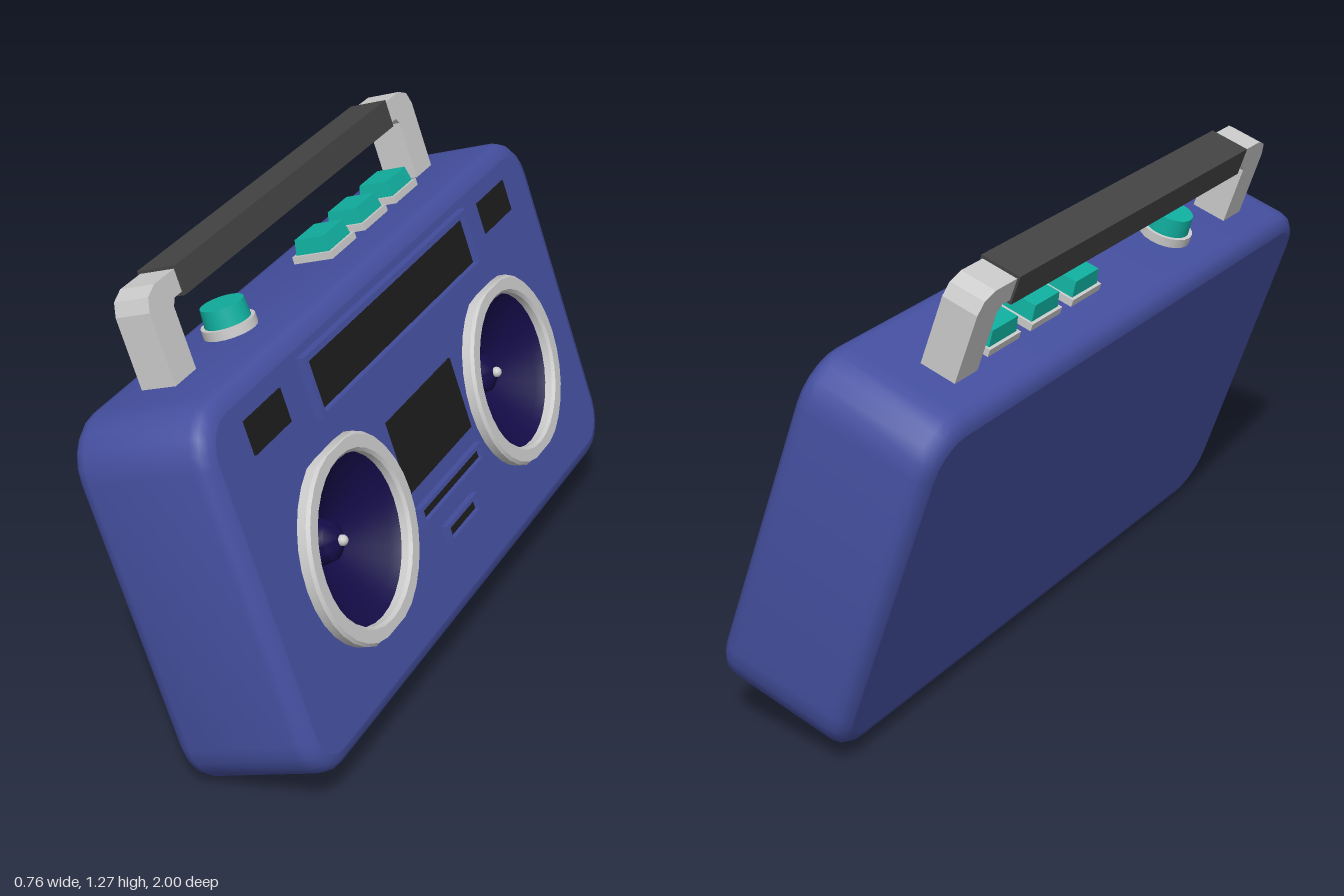
import * as THREE from 'three';
import { toCreasedNormals } from 'three/addons/utils/BufferGeometryUtils.js';

const mat = (color, side = THREE.FrontSide) => new THREE.MeshStandardMaterial({ color, side });
const BLUE = mat(0x4550a0), GREY = mat(0xcccccc), BLACK = mat(0x1c1c1c);
const GRIP = mat(0x444444), TEAL = mat(0x10b0a0), CONE = mat(0x140c48, THREE.DoubleSide);

// Local frame: x along the length, y up the case, z out of the speaker face
const W = 1.96, H = 1.0, D = 0.39, FACE = D / 2, TOP = H / 2;
const SPEAKERS = [[-0.503, -0.06], [0.503, -0.06]];

function add(parent, name, geometry, material, x = 0, y = 0, z = 0) {
  const mesh = new THREE.Mesh(geometry, material);
  mesh.name = name;
  mesh.position.set(x, y, z);
  parent.add(mesh);
  return mesh;
}

// Counter-clockwise rounded rectangle, always with the same number of points
function roundedRect(w, h, r, seg = 5) {
  const points = [];
  [[1, 1], [-1, 1], [-1, -1], [1, -1]].forEach(([sx, sy], corner) => {
    for (let i = 0; i <= seg; i++) {
      const t = (corner + i / seg) * Math.PI / 2;
      points.push(new THREE.Vector2(sx * (w / 2 - r) + r * Math.cos(t), sy * (h / 2 - r) + r * Math.sin(t)));
    }
  });
  return points;
}

function rectPath(w, h, Type) {
  return new Type([[-1, -1], [1, -1], [1, 1], [-1, 1]].map(([x, y]) => new THREE.Vector2(x * w / 2, y * h / 2)));
}

// Case: rounded outline swept through the depth with softened front and back edges
function makeCase() {
  const group = new THREE.Group();
  group.name = 'case';
  const bevel = 0.045, steps = 3, radius = 0.135;
  const outline = inset => roundedRect(W - 2 * inset, H - 2 * inset, radius - inset);
  const levels = [];
  for (let i = 0; i <= steps; i++) {
    const t = i / steps * Math.PI / 2;
    levels.push([bevel * (1 - Math.sin(t)), -FACE + bevel * (1 - Math.cos(t))]);
  }
  for (let i = steps; i >= 0; i--) levels.push([levels[i][0], -levels[i][1]]);

  const positions = [], index = [];
  const n = outline(0).length;
  levels.forEach(([inset, z], k) => {
    outline(inset).forEach((p, j) => {
      positions.push(p.x, p.y, z);
      if (k === levels.length - 1) return;
      const a = k * n + j, b = k * n + (j + 1) % n;
      index.push(a, b, b + n, a, b + n, a + n);
    });
  });
  const shell = new THREE.BufferGeometry();
  shell.setAttribute('position', new THREE.Float32BufferAttribute(positions, 3));
  shell.setIndex(index);
  add(group, 'caseShell', toCreasedNormals(shell, 0.6), BLUE);

  const front = new THREE.Shape(outline(bevel));
  for (const [x, y] of SPEAKERS) front.holes.push(new THREE.Path().absarc(x, y, 0.235, 0, Math.PI * 2, true));
  add(group, 'caseFront', new THREE.ShapeGeometry(front, 24), BLUE, 0, 0, FACE);
  add(group, 'caseBack', new THREE.ShapeGeometry(new THREE.Shape(outline(bevel))).rotateY(Math.PI), BLUE, 0, 0, -FACE);
  return group;
}

function lathe(points, seg = 32) {
  return toCreasedNormals(new THREE.LatheGeometry(points.map(p => new THREE.Vector2(...p)), seg), 0.6);
}

// Speaker: rim trimmed flat above and below, hollow cone, dust cap and tip
function makeSpeaker(x, y) {
  const group = new THREE.Group();
  group.name = 'speaker';
  group.position.set(x, y, FACE);
  const rim = lathe([[0.27, -0.01], [0.27, 0.025], [0.262, 0.033], [0.228, 0.033], [0.22, 0.025], [0.22, -0.02]]).rotateX(Math.PI / 2);
  const pos = rim.attributes.position;
  for (let i = 0; i < pos.count; i++) pos.setY(i, THREE.MathUtils.clamp(pos.getY(i), -0.254, 0.254));
  add(group, 'speakerRim', rim, GREY);
  add(group, 'speakerCone', lathe([[0.225, 0.01], [0.2, -0.02], [0.06, -0.1], [0.05, -0.065], [0.025, -0.045], [0, -0.04]]).rotateX(Math.PI / 2), CONE);
  add(group, 'speakerTip', new THREE.SphereGeometry(0.015, 12, 8), GREY, 0, 0, -0.038);
  return group;
}

// Dark window, optionally inside a raised blue frame
function makePanel(name, x, y, w, h, rim, raise) {
  const group = new THREE.Group();
  group.name = name;
  group.position.set(x, y, FACE);
  if (rim) {
    const frame = rectPath(w, h, THREE.Shape);
    frame.holes.push(rectPath(w - 2 * rim, h - 2 * rim, THREE.Path));
    add(group, name + 'Frame', new THREE.ExtrudeGeometry(frame, { depth: raise + 0.01, bevelEnabled: false }), BLUE, 0, 0, -0.01);
  }
  add(group, name + 'Window', new THREE.BoxGeometry(w - 2 * rim, h - 2 * rim, 0.02), BLACK, 0, 0, -0.005);
  return group;
}

// Push button with a tapered cap on a grey base
function makeButton(x) {
  const group = new THREE.Group();
  group.name = 'button';
  group.position.set(x, TOP, -0.008);
  add(group, 'buttonBase', new THREE.BoxGeometry(0.145, 0.03, 0.12), GREY, 0, 0.005, 0);
  const cap = new THREE.BoxGeometry(0.13, 0.05, 0.105);
  const pos = cap.attributes.position;
  for (let i = 0; i < pos.count; i++) {
    if (pos.getY(i) > 0) pos.setXYZ(i, pos.getX(i) * 0.9, pos.getY(i), pos.getZ(i) * 0.85);
  }
  cap.computeVertexNormals();
  add(group, 'buttonCap', cap, TEAL, 0, 0.037, 0);
  return group;
}

// Handle: grey arms with chamfered shoulders and a dark grip between them
function makeHandle() {
  const group = new THREE.Group();
  group.name = 'handle';
  group.position.z = -0.035;
  for (const s of [-1, 1]) {
    const corners = [[0.65, 0.47], [0.75, 0.47], [0.75, 0.69], [0.735, 0.725], [0.695, 0.742],
      [0.58, 0.742], [0.58, 0.682], [0.635, 0.682], [0.65, 0.665]];
    const shape = new THREE.Shape(corners.map(([x, y]) => new THREE.Vector2(s * x, y)));
    add(group, s < 0 ? 'rightHandleArm' : 'leftHandleArm',
      new THREE.ExtrudeGeometry(shape, { depth: 0.1, bevelEnabled: false }), GREY, 0, 0, -0.05);
  }
  add(group, 'handleGrip', new THREE.BoxGeometry(1.2, 0.078, 0.112), GRIP, 0, 0.711, 0);
  return group;
}

export function createModel() {
  const player = new THREE.Group();
  player.name = 'player';
  player.add(makeCase(), makeHandle());
  for (const [x, y] of SPEAKERS) player.add(makeSpeaker(x, y));

  player.add(
    makePanel('tunerDisplay', 0, 0.35, 1.0, 0.17, 0.016, 0.025),
    makePanel('sideDisplay', -0.7, 0.363, 0.185, 0.09, 0, 0),
    makePanel('sideDisplay', 0.7, 0.363, 0.185, 0.09, 0, 0),
    makePanel('cassetteWindow', 0, 0.013, 0.405, 0.208, 0, 0),
    makePanel('upperSlot', 0, -0.162, 0.4, 0.052, 0.011, 0.02),
    makePanel('lowerSlot', 0, -0.267, 0.2, 0.054, 0.011, 0.02));

  // Controls on the top
  for (const x of [0.105, 0.305, 0.505]) player.add(makeButton(x));
  add(player, 'knobBase', new THREE.CylinderGeometry(0.072, 0.072, 0.035, 20), GREY, -0.41, TOP + 0.008, -0.02);
  add(player, 'knob', new THREE.CylinderGeometry(0.058, 0.062, 0.06, 20), TEAL, -0.41, TOP + 0.045, -0.02);

  // Lean the player back and turn its face to the side
  const along = new THREE.Vector3(-0.06, 0.022, -0.998).normalize();
  const out = along.clone().cross(new THREE.Vector3(-0.317, 0.947, 0.036)).normalize();
  const up = out.clone().cross(along);
  player.quaternion.setFromRotationMatrix(new THREE.Matrix4().makeBasis(along, up, out));
  player.position.y = 0.546;

  const model = new THREE.Group();
  model.name = 'portableStereo';
  model.add(player);
  return model;
}
